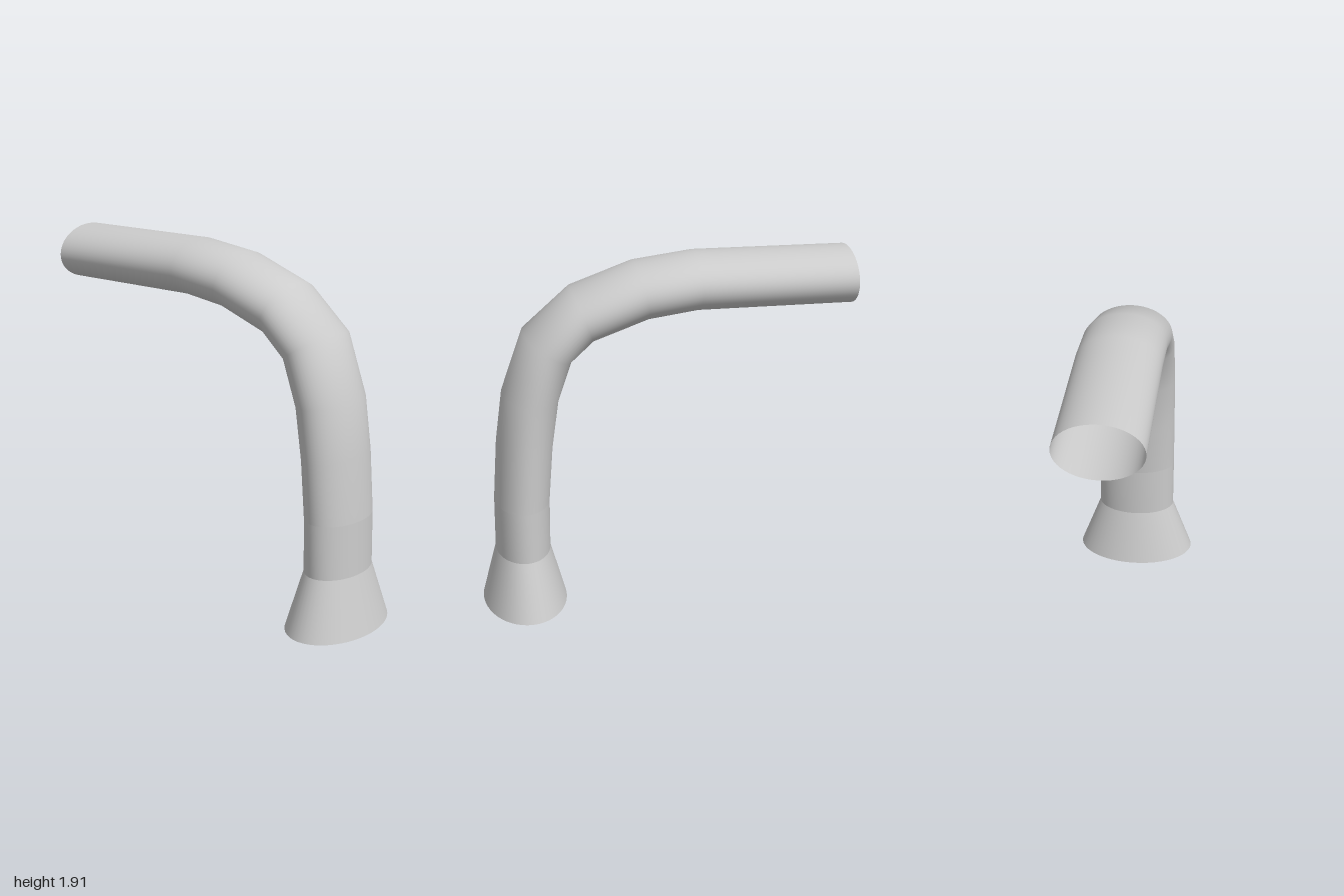
import * as THREE from 'three';

const SIDES = 48;
const material = new THREE.MeshStandardMaterial({ color: 0xcccccc, side: THREE.DoubleSide });

// Open oval tube through rings given as [outerX, outerY, innerX, innerY, halfDepth]
function ovalTube(name, rings) {
  const positions = [], index = [];
  rings.forEach(([ox, oy, ix, iy, depth], i) => {
    for (let j = 0; j < SIDES; j++) {
      const t = (j / SIDES) * Math.PI * 2, c = Math.cos(t) / 2;
      positions.push((ox + ix) / 2 + (ox - ix) * c, (oy + iy) / 2 + (oy - iy) * c, depth * Math.sin(t));
      if (i === 0) continue;
      const k = (j + 1) % SIDES, a = (i - 1) * SIDES, b = i * SIDES;
      index.push(a + j, a + k, b + j, a + k, b + k, b + j);
    }
  });
  const geometry = new THREE.BufferGeometry();
  geometry.setAttribute('position', new THREE.Float32BufferAttribute(positions, 3));
  geometry.setIndex(index);
  geometry.computeVertexNormals();
  const mesh = new THREE.Mesh(geometry, material);
  mesh.name = name;
  return mesh;
}

export function createModel() {
  const group = new THREE.Group();
  group.name = 'bentPipe';
  const r = 0.22;
  const shoulder = [0.915, 0.6, 0.62, 0.6, r];
  const neck = [0.92, 0.31, 0.625, 0.31, r];

  // Horizontal run and faceted elbow
  group.add(ovalTube('pipe', [
    [-1, 1.89, -1, 1.595, r],
    [-0.18, 1.91, -0.17, 1.612, r],
    [0.14, 1.875, 0.085, 1.582, r],
    [0.475, 1.76, 0.37, 1.485, r],
    [0.73, 1.54, 0.48, 1.385, r],
    [0.85, 1.21, 0.555, 1.17, r],
    [0.89, 0.93, 0.595, 0.9, r],
    shoulder,
  ]));
  // Straight lower section
  group.add(ovalTube('lowerPipe', [shoulder, neck]));
  // Flared open foot
  group.add(ovalTube('flaredFoot', [neck, [1, 0, 0.545, 0, 0.335]]));
  return group;
}
